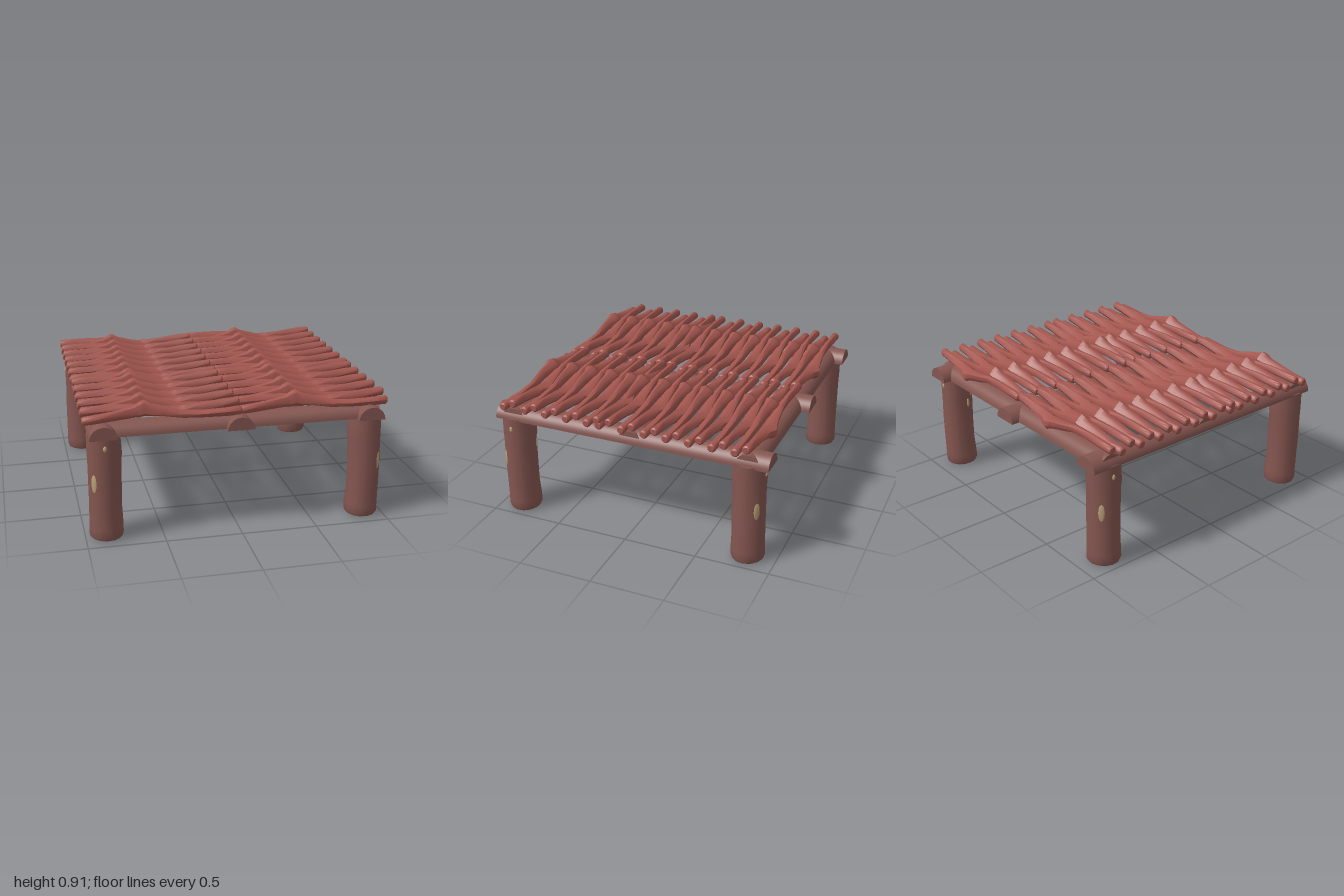
import * as THREE from 'three';
import { toCreasedNormals } from 'three/addons/utils/BufferGeometryUtils.js';

const material = (color) => new THREE.MeshStandardMaterial({ color });
const bark = material(0x855650);
const twigBark = material(0xa2564e);
const bareWood = material(0xb8a076);

// Closed tube along x through sections [x, y, z, radius]; wobble(a, x) scales the radius
function loft(sections, sides, wobble) {
  const first = sections[0], last = sections[sections.length - 1];
  const rings = [[...first.slice(0, 3), 0], ...sections, [...last.slice(0, 3), 0]];
  const positions = [], index = [];
  rings.forEach(([x, y, z, r], i) => {
    for (let j = 0; j < sides; j++) {
      const a = (j / sides) * Math.PI * 2, k = r * wobble(a, x);
      positions.push(x, y + k * Math.cos(a), z + k * Math.sin(a));
      if (i === rings.length - 1) continue;
      const p = i * sides + j, q = i * sides + (j + 1) % sides;
      if (i > 0) index.push(p, q, p + sides);
      if (i < rings.length - 2) index.push(q, q + sides, p + sides);
      if (i === 0) index.push(p, q + sides, p + sides);
      if (i === 0) index.splice(-6, 3);
    }
  });
  const g = new THREE.BufferGeometry();
  g.setAttribute('position', new THREE.Float32BufferAttribute(positions, 3));
  g.setIndex(index);
  return toCreasedNormals(g, 0.75);
}

// Split log lying along z, flat side down
function halfLog(radius, height, length) {
  const shape = new THREE.Shape();
  shape.absellipse(0, 0, radius, height, 0, Math.PI, false);
  const g = new THREE.ExtrudeGeometry(shape, { depth: length, bevelEnabled: false, curveSegments: 10 });
  g.translate(0, 0, -length / 2);
  return toCreasedNormals(g, 0.7);
}

function add(parent, name, geometry, mat, x = 0, y = 0, z = 0) {
  const mesh = new THREE.Mesh(geometry, mat);
  mesh.name = name;
  mesh.position.set(x, y, z);
  parent.add(mesh);
  return mesh;
}

export function createModel() {
  const model = new THREE.Group();
  model.name = 'logTable';

  // Legs: slightly uneven logs with bare ends and knocked-off bark
  const legGeometry = loft([
    [0.008, 0, 0, 0.104], [0.025, 0, 0, 0.112], [0.08, 0, 0, 0.111], [0.19, 0, 0.004, 0.107],
    [0.35, 0, 0.003, 0.108], [0.53, 0, 0, 0.108], [0.58, 0, -0.003, 0.112], [0.71, 0, 0, 0.108],
  ], 14, (a, x) => 1 + 0.02 * Math.sin(3 * a + x * 7)).rotateZ(Math.PI / 2);
  const endGeometry = new THREE.CylinderGeometry(0.1, 0.092, 0.012, 14);
  const patchGeometry = new THREE.SphereGeometry(1, 10, 8);
  const patches = [[0, 0.395, 0.024, 0.068], [0.75, 0.635, 0.012, 0.02], [2.6, 0.5, 0.012, 0.035], [2.95, 0.57, 0.012, 0.03]];
  for (const sx of [-1, 1]) {
    for (const z of [0.835, -0.81]) {
      const leg = new THREE.Group();
      leg.name = 'leg';
      leg.position.set(sx * 0.862, 0, z);
      leg.rotation.y = Math.atan2(sx, Math.sign(z));
      add(leg, 'legLog', legGeometry, bark);
      add(leg, 'legEnd', endGeometry, bareWood, 0, 0.006, 0);
      for (const [a, y, w, h] of patches) {
        const patch = add(leg, 'barePatch', patchGeometry, bareWood, Math.sin(a) * 0.105, y, Math.cos(a) * 0.105);
        patch.scale.set(w, h, 0.009);
        patch.rotation.y = a;
      }
      model.add(leg);
    }
  }

  // Frame: three split logs each way
  const frame = new THREE.Group();
  frame.name = 'frame';
  const longGeometry = halfLog(0.088, 0.085, 1.91);
  for (const x of [-0.873, -0.003, 0.867]) add(frame, 'longBeam', longGeometry, bark, x, 0.697, 0);
  const crossGeometry = halfLog(0.085, 0.082, 1.88).rotateY(Math.PI / 2);
  for (const z of [-0.815, -0.022, 0.828]) add(frame, 'crossBeam', crossGeometry, bark, 0, 0.698, z);
  model.add(frame);

  // Knotted branch, lifted at its knot
  const twigGeometry = loft([
    [-0.505, -0.02, 0.002, 0.02], [-0.495, -0.02, 0.002, 0.029], [-0.4, -0.012, 0, 0.029],
    [-0.28, 0.005, -0.002, 0.031], [-0.18, 0.02, -0.008, 0.037], [-0.145, 0.03, -0.013, 0.048],
    [-0.115, 0.037, -0.015, 0.05], [-0.075, 0.024, -0.008, 0.041], [0, 0.013, 0, 0.034],
    [0.13, -0.016, 0.002, 0.027], [0.27, -0.022, 0.002, 0.025], [0.4, -0.019, 0, 0.027],
    [0.495, -0.015, 0, 0.029], [0.505, -0.015, 0, 0.02],
  ], 9, (a, x) => 1 + 0.1 * Math.cos(3 * a + x * 8) * (Math.abs(x) < 0.49 ? 1 : 0));

  // Slats: pairs of branches, the first of each pair rolled half a turn
  const slats = new THREE.Group();
  slats.name = 'slats';
  const rows = [-0.755, -0.605, -0.45, -0.3, -0.15, 0.005, 0.165, 0.25, 0.4, 0.555, 0.705, 0.865];
  for (const x of [-0.49, 0.485]) {
    for (const z of rows) {
      for (const rolled of [false, true]) {
        const twig = add(slats, 'branch', twigGeometry, twigBark, x, 0.82, z - (rolled ? 0.077 : 0));
        twig.rotation.set(0, -0.018, rolled ? Math.PI : 0);
      }
    }
  }
  model.add(slats);
  return model;
}
